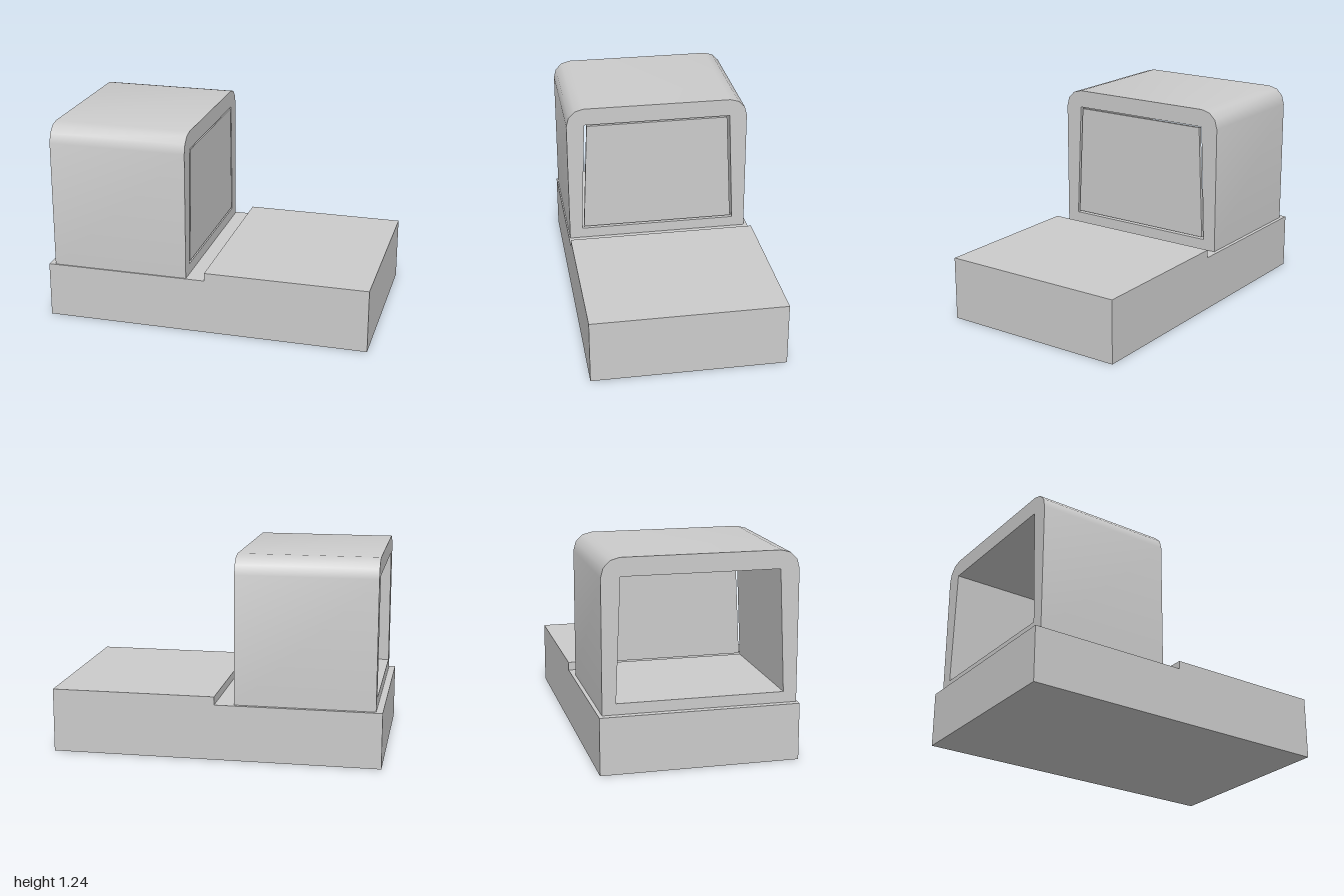
import * as THREE from 'three';
import { toCreasedNormals } from 'three/addons/utils/BufferGeometryUtils.js';

const material = new THREE.MeshStandardMaterial({ color: 0xcccccc });
const toPoints = (pts) => pts.map(([x, y]) => new THREE.Vector2(x, y));

// Extrudes an outline, with optional holes, along +z
function extrude(outline, depth, holes = []) {
  const shape = new THREE.Shape(toPoints(outline));
  for (const hole of holes) shape.holes.push(new THREE.Path(toPoints(hole)));
  return new THREE.ExtrudeGeometry(shape, { depth, bevelEnabled: false });
}

// Extrudes an outline given as [-z, y] along x, from x0 to x1
function extrudeAlongX(outline, x0, x1, holes) {
  return extrude(outline, x1 - x0, holes).rotateY(Math.PI / 2).translate(x0, 0, 0);
}

function addPart(group, name, geometry) {
  const mesh = new THREE.Mesh(geometry, material);
  mesh.name = name;
  group.add(mesh);
}

export function createModel() {
  const group = new THREE.Group();

  // Stepped base slab
  const base = [[-1, 0], [1, 0], [1, 0.39], [0, 0.39], [0, 0.34], [-1, 0.34]];
  addPart(group, 'base', extrude(base, 1.175).translate(0, 0, -0.588));

  // Cab shell: rounded upper corners, tapered opening running right through
  const mid = -0.007, half = 0.572, top = 1.235, r = 0.11;
  const outline = [[mid - half, 0.34], [mid + half, 0.34]];
  for (const side of [1, -1]) {
    for (let i = 0; i <= 3; i++) {
      const a = (side > 0 ? i : 3 - i) * Math.PI / 6;
      outline.push([mid + side * (half - r + r * Math.cos(a)), top - r + r * Math.sin(a)]);
    }
  }
  const opening = [[-0.5, 0.405], [-0.468, 1.127], [0.455, 1.127], [0.485, 0.405]];
  const shell = extrudeAlongX(outline, -0.96, -0.117, [opening]);
  addPart(group, 'cabShell', toCreasedNormals(shell, Math.PI / 4));

  // Closing panel set in the opening with a narrow gap all round
  const panel = [[-0.487, 0.418], [0.471, 0.418], [0.438, 1.118], [-0.453, 1.118]];
  addPart(group, 'windowPanel', extrudeAlongX(panel, -0.137, -0.117));

  return group;
}
